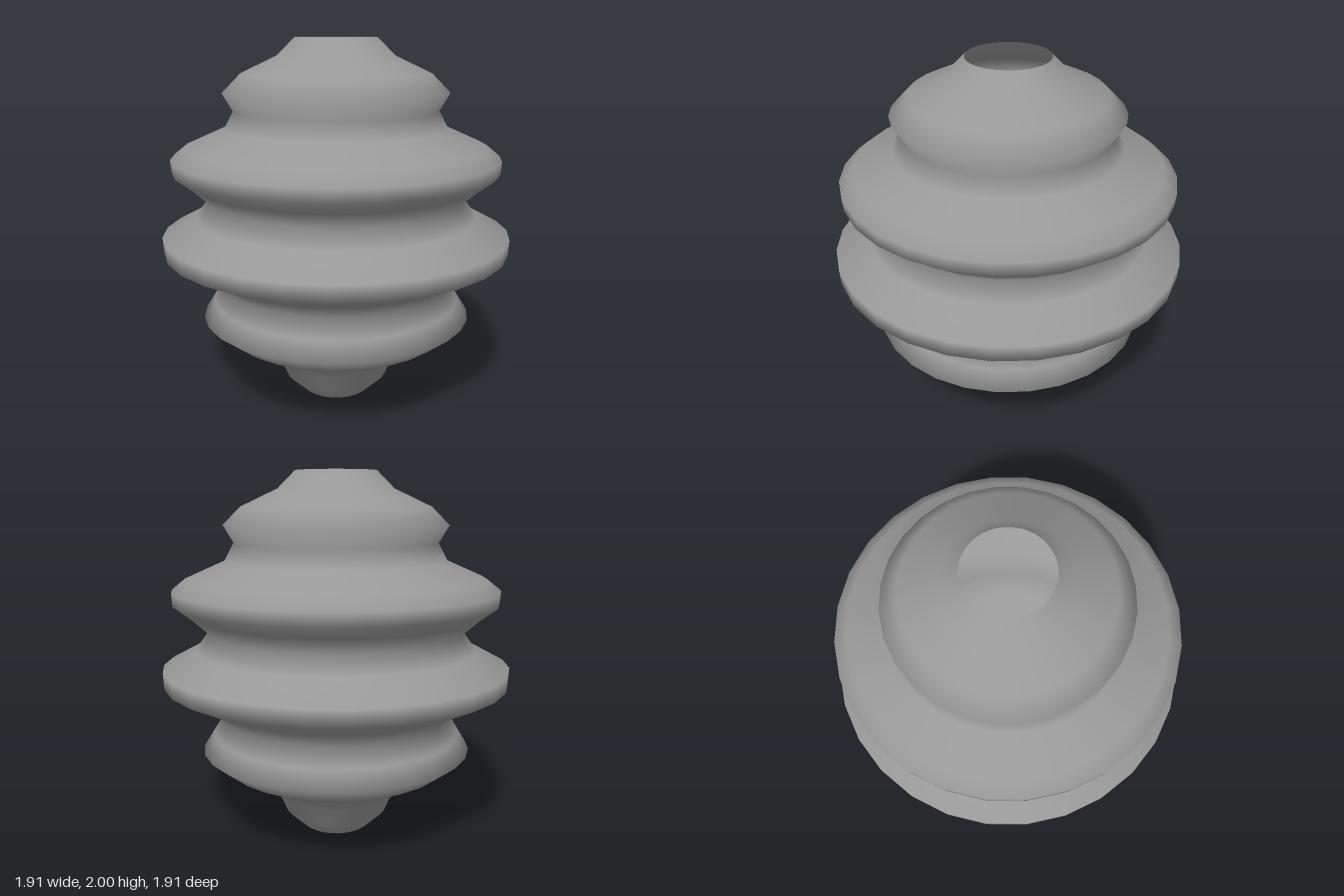
import * as THREE from 'three';

export function createModel() {
  const group = new THREE.Group();
  group.name = 'ribbedVessel';

  // Profile as [radius, height], from the lower opening to the upper one
  const profile = [
    [0.19, 0], [0.29, 0.095], [0.33, 0.19], [0.43, 0.286], [0.63, 0.381],
    [0.75, 0.476], [0.69, 0.571], [0.63, 0.667], [0.75, 0.762],
    [0.95, 0.862], [0.955, 0.95], [0.77, 1.048], [0.70, 1.143],
    [0.80, 1.233], [0.888, 1.3], [0.893, 1.37], [0.82, 1.429],
    [0.605, 1.524], [0.555, 1.619], [0.61, 1.714], [0.515, 1.81],
    [0.315, 1.905], [0.22, 2],
  ].map(([r, y]) => new THREE.Vector2(r, y));

  // Thin open shell, smooth shaded
  const shell = new THREE.Mesh(
    new THREE.LatheGeometry(profile, 28),
    new THREE.MeshStandardMaterial({ color: 0x989898, side: THREE.DoubleSide }),
  );
  shell.name = 'ribbedShell';
  group.add(shell);
  return group;
}
